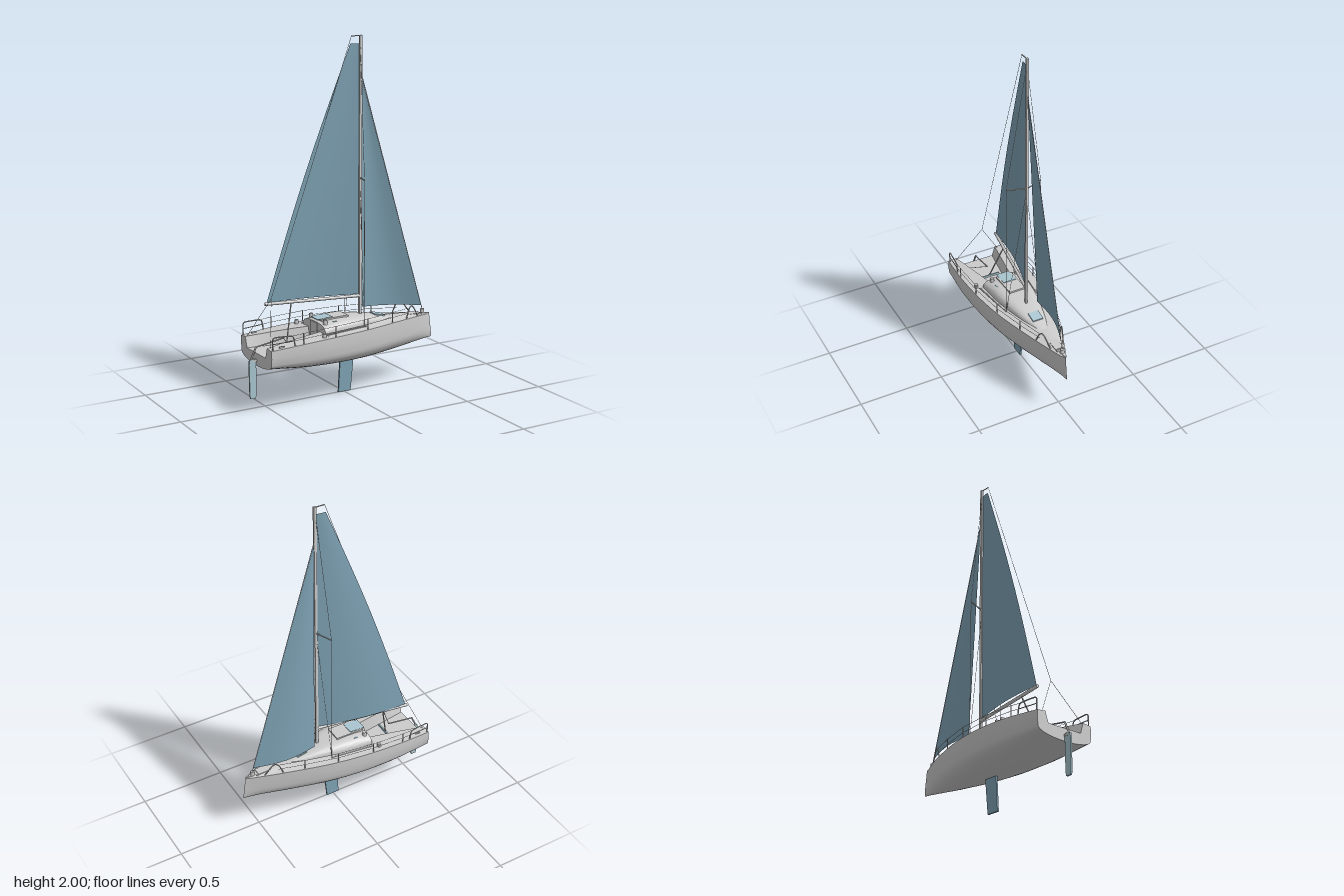
import * as THREE from 'three';
import { toCreasedNormals } from 'three/addons/utils/BufferGeometryUtils.js';

const V = (x, y, z = 0) => new THREE.Vector3(x, y, z);
const mat = (color, side = THREE.FrontSide) => new THREE.MeshStandardMaterial({ color, side });
const grey = mat(0xcccccc);
const glass = mat(0xa9c6d0);
const blue = mat(0x7fa3b5);
const cloth = mat(0x7fa3b5, THREE.DoubleSide);

// Smooth function through [x, value] pairs
const curve = (pairs) => {
  const c = new THREE.CubicInterpolant(pairs.map((p) => p[0]), pairs.map((p) => p[1]), 1);
  return (x) => c.evaluate(x)[0];
};

// Hull lines along the length
const beam = curve([[-0.55, 0.185], [-0.33, 0.2], [-0.1, 0.192], [0.1, 0.162], [0.3, 0.107], [0.45, 0.056], [0.55, 0.014], [0.575, 0.003]]);
const sheer = curve([[-0.55, 0.365], [-0.3, 0.383], [0.1, 0.393], [0.45, 0.386], [0.575, 0.376]]);
const keelLine = curve([[-0.55, 0.24], [-0.3, 0.208], [0, 0.195], [0.3, 0.207], [0.575, 0.235]]);
const chine = curve([[-0.55, 0.28], [0, 0.29], [0.575, 0.3]]);
const roofHeight = curve([[-0.19, 0.056], [-0.1, 0.065], [0.1, 0.053], [0.25, 0.027], [0.36, 0.004]]);
const roofWidth = curve([[-0.19, 0.128], [0, 0.112], [0.11, 0.09], [0.25, 0.052], [0.36, 0.012]]);
const roofY = (x) => sheer(x) - 0.005 + roofHeight(x);

// Skin over rows of points; optionally closes each row and caps the first one
function loft(rows, { closed = false, cap = false, crease = 0.6 } = {}) {
  const n = rows[0].length;
  const index = [];
  for (let i = 0; i < rows.length - 1; i++) {
    for (let j = 0; j < (closed ? n : n - 1); j++) {
      const a = i * n + j, b = i * n + (j + 1) % n;
      index.push(a, a + n, b + n, a, b + n, b);
    }
  }
  if (cap) {
    const outline = rows[0].map((p) => new THREE.Vector2(p.z, p.y));
    for (const f of THREE.ShapeUtils.triangulateShape(outline, [])) index.push(...f);
  }
  const g = new THREE.BufferGeometry().setFromPoints(rows.flat());
  g.setIndex(index);
  return toCreasedNormals(g, crease);
}

// One full hull section: bottom, topsides, side deck, then cockpit or foredeck
function hullSection(x, cockpit) {
  const b = beam(x), top = sheer(x), low = keelLine(x), mid = chine(x);
  const half = [];
  for (let i = 0; i <= 8; i++) {
    const a = (i / 8) * Math.PI / 2;
    half.push([0.97 * b * Math.sin(a), mid - (mid - low) * Math.cos(a)]);
  }
  const w = cockpit ? THREE.MathUtils.mapLinear(x, -0.55, -0.19, 0.13, 0.065) : 0.5 * b;
  const floor = cockpit ? 0.31 : top + 0.008;
  half.push([b, (mid + top) / 2], [0.985 * b, top], [w, top + 0.005], [0.85 * w, floor], [0, floor]);
  const rake = 0.016 * Math.max(0, x / 0.575) ** 6;
  const point = (z, y) => V(x + rake * Math.min(1, (top - y) / 0.12), y, z);
  return [...half.map(([z, y]) => point(z, y)), ...half.slice(1, -1).reverse().map(([z, y]) => point(-z, y))];
}

function roofSection(x) {
  return Array.from({ length: 25 }, (_, i) => {
    const a = (i / 24) * Math.PI, c = Math.cos(a);
    return V(x, sheer(x) - 0.005 + roofHeight(x) * Math.sin(a) ** 0.65, roofWidth(x) * Math.sign(c) * Math.abs(c) ** 0.6);
  });
}

// Curved sail between a luff and a leech, bulging to leeward
function sail(luff, leech, camber) {
  const rows = [];
  for (let i = 0; i <= 24; i++) {
    const a = luff(i / 24), b = leech(i / 24), chord = a.distanceTo(b);
    rows.push(Array.from({ length: 13 }, (_, j) => {
      const p = a.clone().lerp(b, j / 12);
      p.z -= camber * chord * Math.sin(Math.PI * j / 12);
      return p;
    }));
  }
  return loft(rows, { crease: 1 });
}

export function createModel() {
  const boat = new THREE.Group();
  boat.name = 'sailboat';
  const add = (name, geometry, material = grey) => {
    const m = new THREE.Mesh(geometry, material);
    m.name = name;
    boat.add(m);
    return m;
  };
  const box = (name, w, h, d, x, y, z, material) => {
    const m = add(name, new THREE.BoxGeometry(w, h, d), material);
    m.position.set(x, y, z);
    return m;
  };
  const rod = (name, a, b, r, sides = 6) => {
    const m = add(name, new THREE.CylinderGeometry(r, r, a.distanceTo(b), sides));
    m.position.copy(a).lerp(b, 0.5);
    m.quaternion.setFromUnitVectors(V(0, 1), b.clone().sub(a).normalize());
  };
  const tube = (name, points, r) =>
    add(name, new THREE.TubeGeometry(new THREE.CatmullRomCurve3(points, false, 'catmullrom', 0.3), 28, r, 6));
  const drum = (name, x, y, z, r, h) => {
    add(name, new THREE.CylinderGeometry(r * 0.85, r, h, 16)).position.set(x, y + h / 2, z);
  };
  const plate = (name, outline, t, material) => {
    const s = new THREE.Shape(outline.map(([x, y]) => new THREE.Vector2(x, y)));
    add(name, new THREE.ExtrudeGeometry(s, { depth: t, bevelEnabled: false }).translate(0, 0, -t / 2), material);
  };

  // Hull with open cockpit, and the cabin
  const sections = [];
  for (let i = 0; i <= 8; i++) sections.push(hullSection(-0.55 + 0.045 * i, true));
  for (let i = 0; i <= 24; i++) sections.push(hullSection(-0.19 + 0.765 * i / 24, false));
  add('hull', loft(sections, { closed: true, cap: true }));
  const roof = Array.from({ length: 17 }, (_, i) => roofSection(-0.19 + 0.55 * i / 16));
  add('cabin', loft(roof, { cap: true }));

  // Hatches and windows
  box('slidingHatch', 0.17, 0.012, 0.1, -0.085, roofY(-0.08), 0).rotation.z = 0.02;
  box('companionwayWindow', 0.094, 0.004, 0.08, -0.142, roofY(-0.13) + 0.008, 0, glass).rotation.z = 0.05;
  box('companionwayDoor', 0.006, 0.1, 0.08, -0.192, 0.385, 0);
  box('foredeckHatch', 0.064, 0.01, 0.064, 0.22, roofY(0.22) + 0.001, 0, glass).rotation.z = -0.18;
  box('anchorLocker', 0.08, 0.005, 0.05, 0.46, sheer(0.46) + 0.008, 0);

  // Keel and rudder
  plate('keel', [[-0.037, 0], [0.042, 0], [0.063, 0.21], [-0.025, 0.21]], 0.01, blue);
  plate('rudder', [[-0.587, 0.055], [-0.558, 0.055], [-0.553, 0.075], [-0.553, 0.265], [-0.565, 0.28], [-0.592, 0.275], [-0.595, 0.25], [-0.592, 0.07]], 0.01, glass);
  rod('rudderStock', V(-0.585, 0.27), V(-0.55, 0.345), 0.005);
  box('rudderBracket', 0.03, 0.012, 0.014, -0.56, 0.27, 0);
  tube('tiller', [V(-0.553, 0.342), V(-0.47, 0.355), V(-0.38, 0.37)], 0.004);
  rod('tillerExtension', V(-0.385, 0.372), V(-0.42, 0.375, 0.115), 0.002);
  box('traveller', 0.008, 0.012, 0.135, -0.365, 0.316, 0.005, glass);

  // Mast, boom and their gear
  box('mast', 0.016, 1.57, 0.012, 0.106, 1.215, 0);
  rod('mastheadCrane', V(0.105, 1.996), V(0.048, 1.996), 0.003);
  rod('boom', V(0.1, 0.545), V(-0.45, 0.548, -0.087), 0.009, 12);
  rod('mainsheet', V(-0.3, 0.54, -0.063), V(-0.365, 0.32), 0.004);
  rod('forestay', V(0.535, 0.385), V(0.112, 1.79), 0.002);
  drum('furlingDrum', 0.528, 0.385, 0, 0.013, 0.026);

  // Sails
  const mainLeech = (t) => V(-0.44 + 0.485 * t - 0.02 * Math.sin(Math.PI * t), 0.555 + 1.4 * t,
    -0.085 * (1 - 0.93 * t));
  add('mainsail', sail((t) => V(0.096, 0.555 + 1.4 * t), mainLeech, 0.04), cloth);
  const jibHead = V(0.113, 1.775);
  add('jib', sail((t) => V(0.52, 0.432).lerp(jibHead, t), (t) => V(0.15, 0.462, -0.048).lerp(jibHead, t), 0.08), cloth);

  // Backstay with its split lower end
  const bridle = V(-0.455, 0.6);
  rod('backstay', V(0.048, 1.996), bridle, 0.0012);

  // Fittings mirrored on both sides
  const posts = [-0.36, -0.16, 0.06, 0.25];
  for (const s of [1, -1]) {
    const rail = (x, y) => V(x, y, s * (beam(x) - 0.008));
    const above = (x, h) => rail(x, sheer(x) + h);
    rod('backstayLeg', bridle, V(-0.535, 0.367, s * 0.14), 0.0012);
    const tip = V(0.07, 1.22, s * 0.105);
    const chainplate = V(0.07, sheer(0.07), s * 0.108);
    rod('spreader', V(0.106, 1.215), tip, 0.004);
    rod('upperShroud', tip, V(0.104, 1.97), 0.0012);
    rod('shroud', tip, chainplate, 0.0015);
    rod('lowerShroud', V(0.104, 1.2), chainplate, 0.0012);

    for (const x of posts) rod('stanchion', above(x, 0), above(x, 0.062), 0.0028);
    for (const h of [0.03, 0.06]) {
      const line = [-0.46, ...posts, 0.395].map((x) => above(x, h));
      for (let i = 1; i < line.length; i++) rod('lifeline', line[i - 1], line[i], 0.0012);
    }
    tube('pulpit', [above(0.37, 0), above(0.39, 0.05), above(0.41, 0.07), above(0.43, 0.058), above(0.47, 0)], 0.0035);
    tube('pushpit', [above(-0.54, 0), above(-0.54, 0.06), above(-0.525, 0.07), above(-0.44, 0.062), above(-0.42, 0.05), above(-0.41, 0)], 0.0035);
    rod('pushpitRail', above(-0.54, 0.035), above(-0.413, 0.03), 0.0025);

    drum('cabinWinch', -0.165, roofY(-0.165) - 0.012, s * 0.08, 0.013, 0.03);
    drum('deckWinch', -0.215, sheer(-0.215), s * 0.16, 0.012, 0.024);
    box('cabinWindow', 0.022, 0.006, 0.016, -0.105, roofY(-0.105) - 0.008, s * 0.077, glass);
    box('sternCleat', 0.03, 0.008, 0.008, -0.48, sheer(-0.48) + 0.005, s * 0.165);
    box('bowCleat', 0.025, 0.008, 0.006, 0.5, sheer(0.5) + 0.007, s * 0.02);
    rod('sheetTrack', V(-0.19, sheer(-0.19) + 0.005, s * 0.145), V(0.08, sheer(0.08) + 0.005, s * 0.115), 0.003);
  }
  return boat;
}
